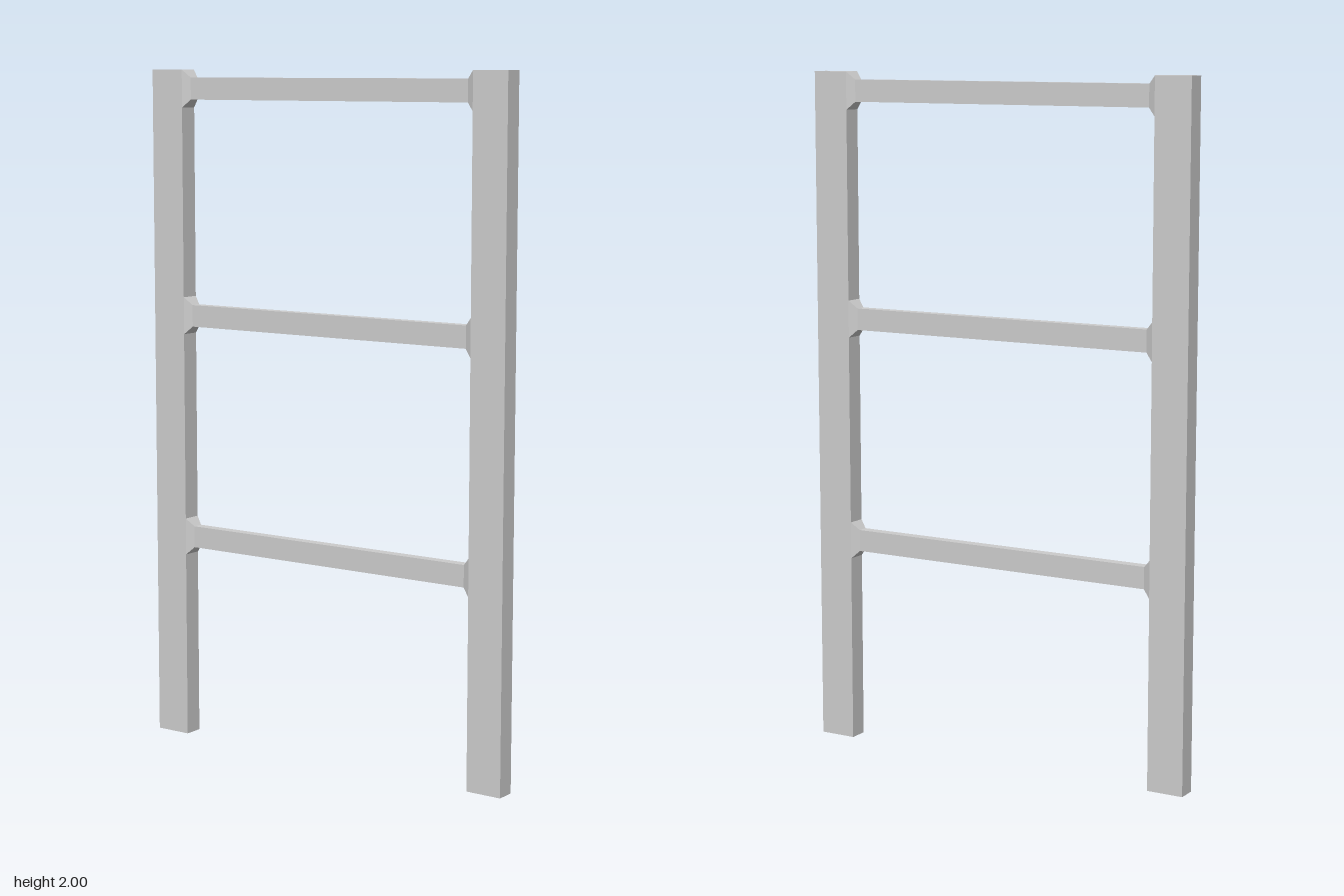
import * as THREE from 'three';

const POST_INNER = 0.5, POST_OUTER = 0.61, DEPTH = 0.057, HEIGHT = 2;

// Slim bar whose two ends flare out to meet the posts
function rungGeometry() {
  const barX = 0.477, barY = 0.032, barZ = 0.0157, flareY = 0.055;
  const geo = new THREE.BoxGeometry(2, 2, 2, 3, 1, 1);
  const p = geo.attributes.position;
  for (let i = 0; i < p.count; i++) {
    const x = p.getX(i), end = Math.abs(x) > 0.9;
    p.setXYZ(i,
      Math.sign(x) * (end ? POST_INNER : barX),
      p.getY(i) * (end ? flareY : barY),
      p.getZ(i) * (end ? DEPTH / 2 : barZ));
  }
  const flat = geo.toNonIndexed();
  flat.computeVertexNormals();
  return flat;
}

export function createModel() {
  const group = new THREE.Group();
  group.name = 'ladderFrame';
  const material = new THREE.MeshStandardMaterial({ color: 0xcccccc, flatShading: true });

  // Two upright posts
  const postGeo = new THREE.BoxGeometry(POST_OUTER - POST_INNER, HEIGHT, DEPTH);
  for (const [name, side] of [['leftPost', 1], ['rightPost', -1]]) {
    const post = new THREE.Mesh(postGeo, material);
    post.name = name;
    post.position.set(side * (POST_INNER + POST_OUTER) / 2, HEIGHT / 2, 0);
    group.add(post);
  }

  // Three evenly spaced rungs
  const rungGeo = rungGeometry();
  [['lowerRung', 0.611], ['middleRung', 1.278], ['topRung', 1.945]].forEach(([name, y]) => {
    const rung = new THREE.Mesh(rungGeo, material);
    rung.name = name;
    rung.position.y = y;
    group.add(rung);
  });

  return group;
}
